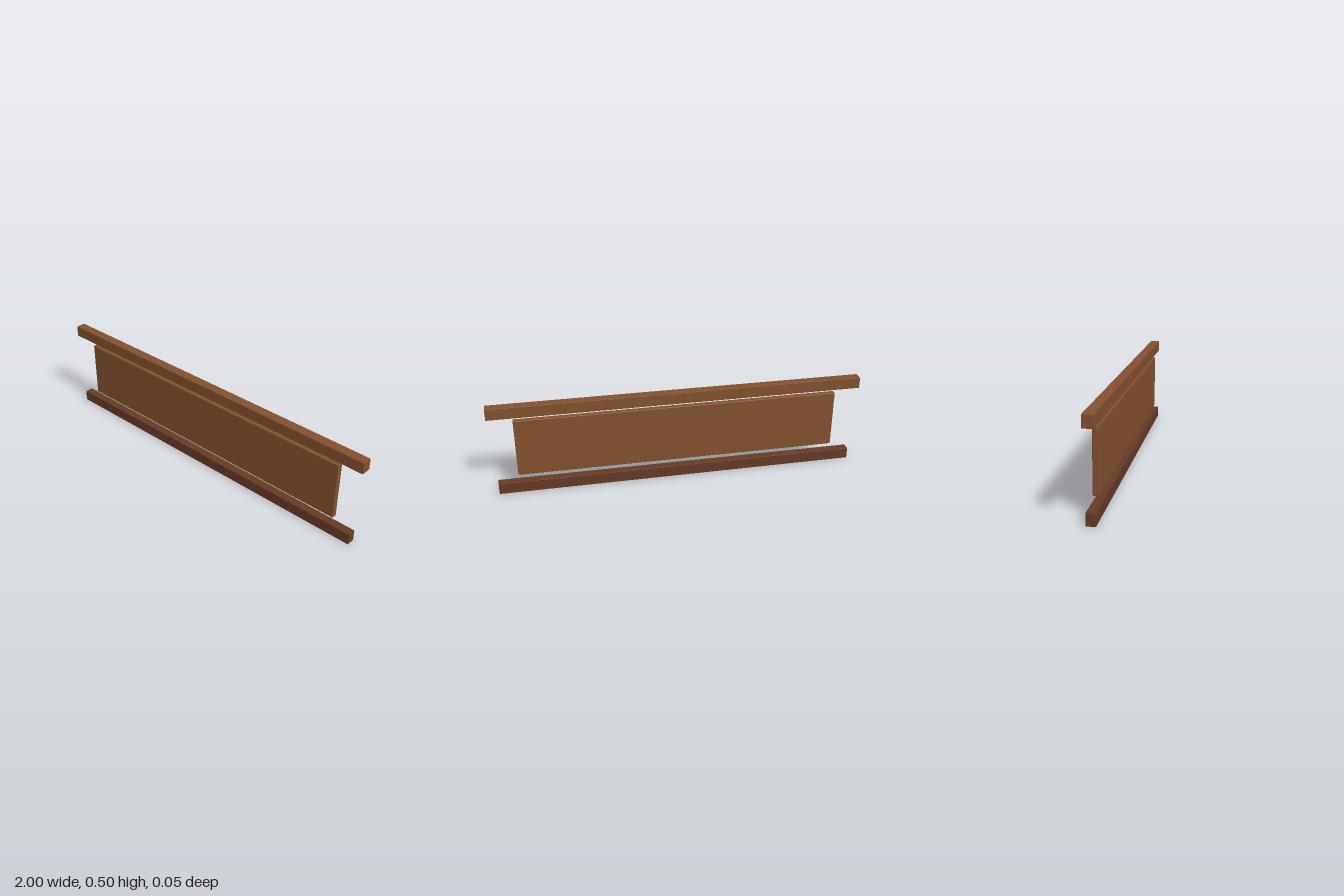
import * as THREE from 'three';
import { RoundedBoxGeometry } from 'three/addons/geometries/RoundedBoxGeometry.js';

export function createModel() {
  const model = new THREE.Group();
  model.name = 'railingPanel';

  const wood = new THREE.MeshStandardMaterial({ color: 0x83502e });
  wood.name = 'warm brown wood';
  const darkWood = new THREE.MeshStandardMaterial({ color: 0x663a25 });
  darkWood.name = 'dark brown wood';

  // Plank with slightly eased edges, given by its length and y and z ranges
  function plank(name, length, [y0, y1], [z0, z1], radius, material) {
    const geometry = new RoundedBoxGeometry(length, y1 - y0, z1 - z0, 2, radius);
    const mesh = new THREE.Mesh(geometry, material);
    mesh.name = name;
    mesh.position.set(0, (y0 + y1) / 2, (z0 + z1) / 2);
    model.add(mesh);
  }

  plank('topRail', 2, [0.437, 0.498], [-0.026, 0.027], 0.002, wood);
  plank('centrePanel', 1.737, [0.099, 0.413], [-0.011, 0.018], 0.004, wood);
  plank('bottomRail', 1.95, [0, 0.061], [-0.019, 0.027], 0.002, darkWood);

  return model;
}
